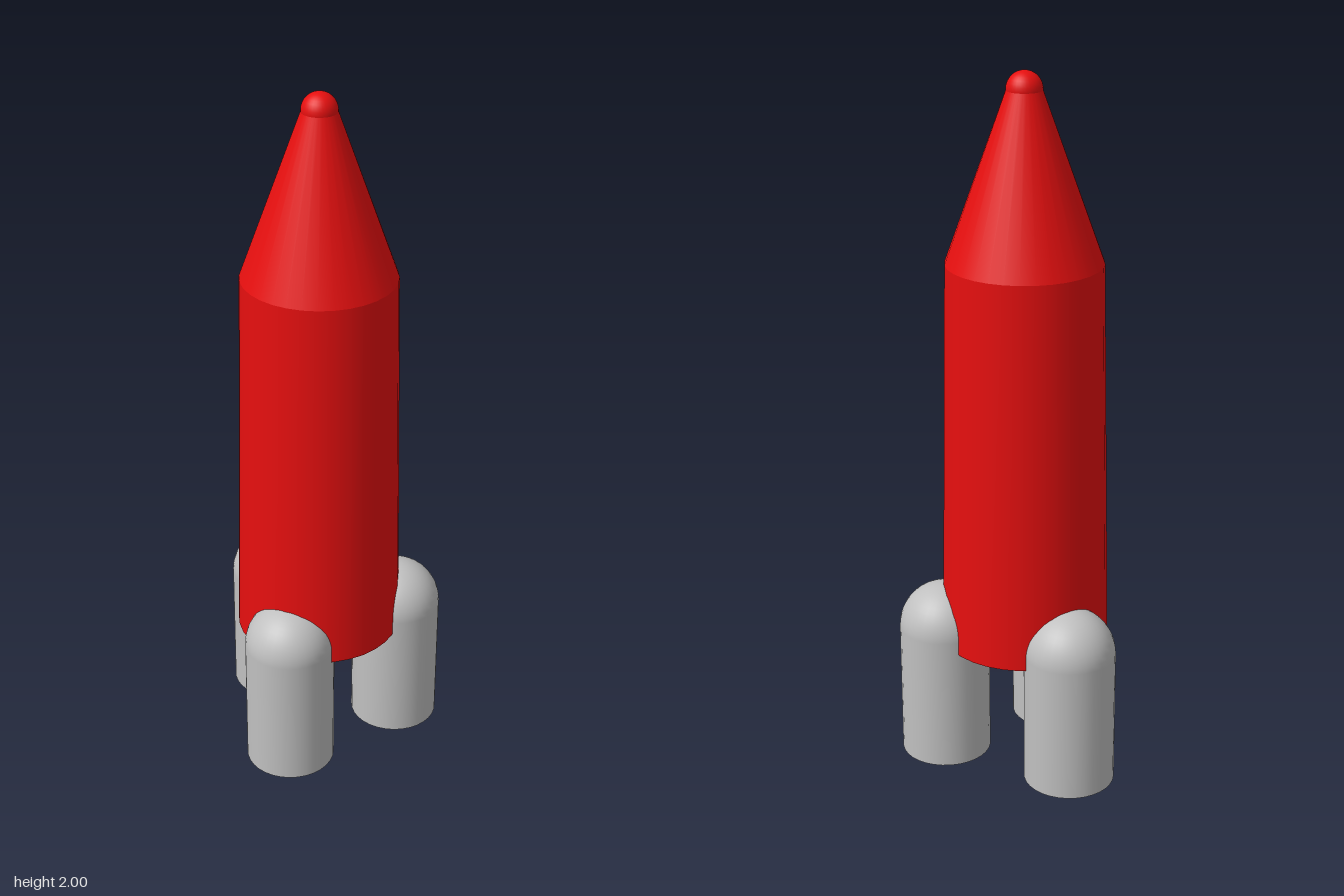
import * as THREE from 'three';

export function createModel() {
  const red = new THREE.MeshStandardMaterial({ color: 0xe60f0f });
  red.name = 'red';
  const grey = new THREE.MeshStandardMaterial({ color: 0xc0c0c0 });
  grey.name = 'light grey';

  const rocket = new THREE.Group();
  rocket.name = 'rocket';
  const add = (name, geometry, material, x, y, z, parent = rocket) => {
    const mesh = new THREE.Mesh(geometry, material);
    mesh.name = name;
    mesh.position.set(x, y, z);
    parent.add(mesh);
  };

  // Fuselage, nose cone and rounded tip share one axis
  const axisZ = -0.044;
  const baseY = 0.36, shoulderY = 1.48, coneTopY = 1.96;
  add('fuselage', new THREE.CylinderGeometry(0.218, 0.24, shoulderY - baseY, 32),
    red, 0, (baseY + shoulderY) / 2, axisZ);
  add('noseCone', new THREE.CylinderGeometry(0.045, 0.218, coneTopY - shoulderY, 32),
    red, 0, (shoulderY + coneTopY) / 2, axisZ);
  add('noseTip', new THREE.SphereGeometry(0.05, 32, 16), red, 0, 1.95, axisZ);

  // Three boosters with domed tops
  const radius = 0.13, height = 0.397;
  const tube = new THREE.CylinderGeometry(radius, radius, height, 32);
  const dome = new THREE.SphereGeometry(radius, 32, 12, 0, Math.PI * 2, 0, Math.PI / 2);
  const spots = [['frontBooster', 0, 0.165], ['leftBooster', 0.2, -0.167], ['rightBooster', -0.2, -0.167]];
  for (const [name, x, z] of spots) {
    const booster = new THREE.Group();
    booster.name = name;
    booster.position.set(x, 0, z);
    add('boosterTube', tube, grey, 0, height / 2, 0, booster);
    add('boosterDome', dome, grey, 0, height, 0, booster);
    rocket.add(booster);
  }
  return rocket;
}
